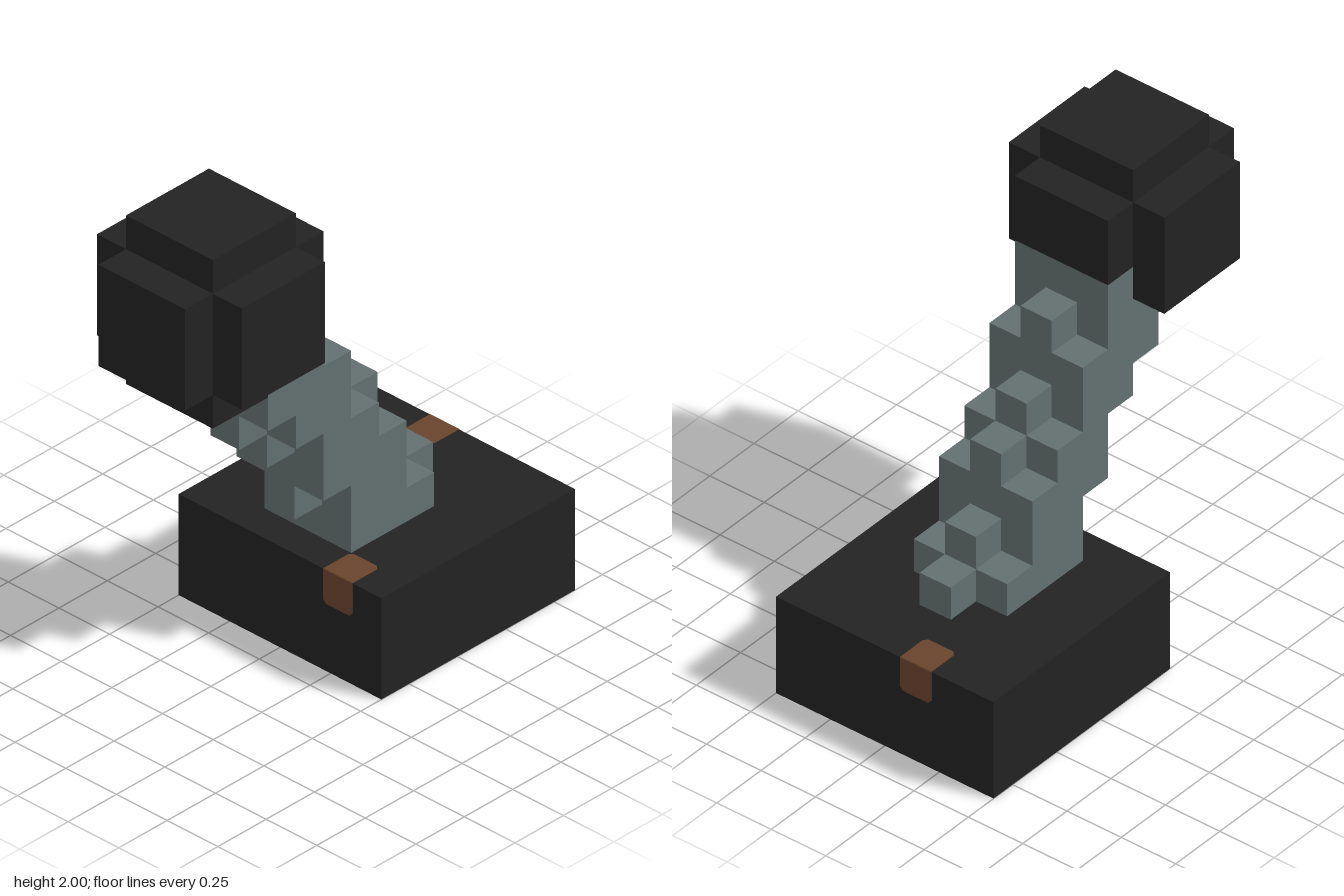
import * as THREE from 'three';

const U = 1 / 7; // one block

export function createModel() {
  const model = new THREE.Group();
  model.name = 'lever';
  const material = (name, color) => {
    const m = new THREE.MeshStandardMaterial({ color });
    m.name = name;
    return m;
  };
  const black = material('black', 0x222222);
  const grey = material('steelGrey', 0x637070);
  const rust = material('rustBrown', 0x69432c);

  const part = (name) => {
    const g = new THREE.Group();
    g.name = name;
    model.add(g);
    return g;
  };
  // box from block coordinates; depth is centred on z = 0
  const block = (parent, name, mat, x0, x1, y0, y1, depth) => {
    const geo = new THREE.BoxGeometry((x1 - x0) * U, (y1 - y0) * U, depth * U);
    const mesh = new THREE.Mesh(geo, mat);
    mesh.name = name;
    mesh.position.set((x0 + x1) / 2 * U, (y0 + y1) / 2 * U, 0);
    parent.add(mesh);
  };

  // square base
  block(model, 'base', black, -1, 6, 0, 3, 7);

  // round knob: core with a cap on each side, cut away where the shaft enters
  const knob = part('knob');
  block(knob, 'knobCore', black, -5, -2, 10, 13, 5);
  block(knob, 'knobTop', black, -5, -2, 13, 14, 3);
  block(knob, 'knobBottom', black, -5, -3, 9, 10, 3);
  block(knob, 'knobRightCap', black, -6, -5, 10, 13, 3);
  block(knob, 'knobLeftCap', black, -2, -1, 11, 13, 3);

  // leaning shaft: one wide slab per layer, [x0, x1, y]
  const shaft = part('shaft');
  [[0, 3, 3], [0, 2, 4], [-1, 2, 5], [-1, 1, 6], [-2, 0, 7], [-3, 0, 8], [-3, -1, 9], [-2, -1, 10]]
    .forEach(([x0, x1, y]) => block(shaft, 'shaftLayer', grey, x0, x1, y, y + 1, 3));

  // single blocks along the middle that round off the shaft, [x, y]
  [[3, 3], [2, 4], [1, 6], [0, 7], [-1, 9], [-1, 4], [-2, 6], [-3, 7]]
    .forEach(([x, y]) => block(shaft, 'shaftRidge', grey, x, x + 1, y, y + 1, 1));

  // rust patches folded over the base's upper edge, inner corners clipped
  const h = U / 2, c = 0.015;
  const shape = new THREE.Shape([
    [0, -h], [0, h], [c - U, h], [-U, h - c], [-U, c - h], [c - U, -h],
  ].map(([x, y]) => new THREE.Vector2(x, y)));
  const plate = () => new THREE.ExtrudeGeometry(shape, { depth: 0.002, bevelEnabled: false });
  const axis = (x, y, z) => new THREE.Vector3(x, y, z);
  const topGeo = plate().rotateX(-Math.PI / 2);
  const sideGeo = plate().applyMatrix4(
    new THREE.Matrix4().makeBasis(axis(0, 1, 0), axis(0, 0, 1), axis(1, 0, 0)));
  const rustPatch = (name, x, z, turn) => {
    const g = part(name);
    const top = new THREE.Mesh(topGeo, rust);
    const side = new THREE.Mesh(sideGeo, rust);
    top.name = 'rustTop';
    side.name = 'rustSide';
    g.add(top, side);
    g.position.set(x * U, 3 * U, z * U);
    g.rotation.y = turn;
  };
  rustPatch('leftRustPatch', 6, -1, 0);
  rustPatch('rightRustPatch', -1, 2, Math.PI);

  return model;
}
